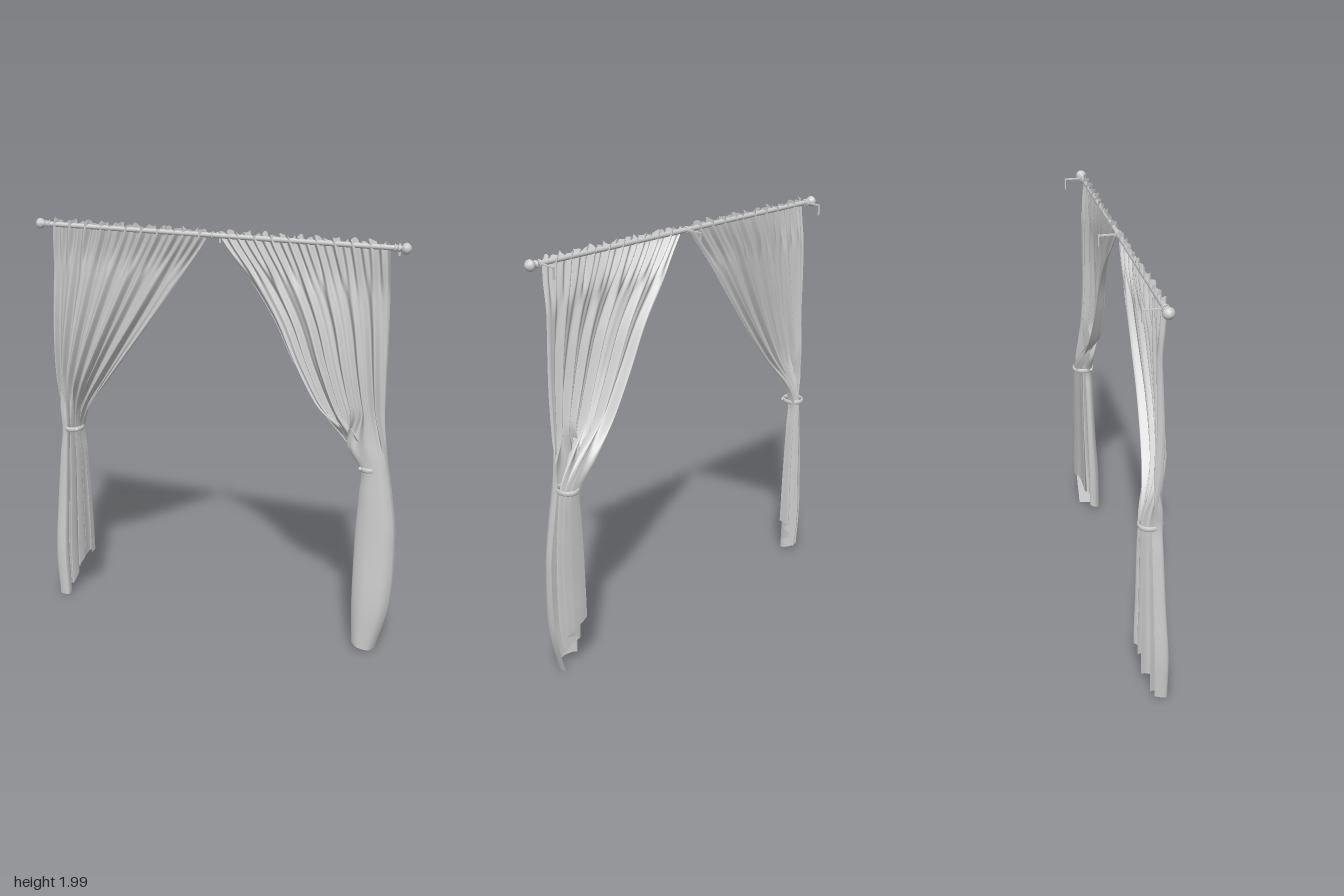
import * as THREE from 'three';

const metal = new THREE.MeshStandardMaterial({ color: 0xcccccc });
const cloth = new THREE.MeshStandardMaterial({ color: 0xcccccc, side: THREE.DoubleSide });
const ROD_Y = 1.965, ROD_Z = 0.015, TIE_Y = 0.935;

// smooth interpolation of column c in rows sorted by falling first value
function sample(rows, y, c) {
  const n = rows.length - 1;
  if (y >= rows[0][0]) return rows[0][c];
  if (y <= rows[n][0]) return rows[n][c];
  let i = 0;
  while (rows[i + 1][0] > y) i++;
  const slope = (k) => {
    const a = rows[Math.max(k - 1, 0)], b = rows[Math.min(k + 1, n)];
    return (b[c] - a[c]) / (b[0] - a[0]);
  };
  const h = rows[i + 1][0] - rows[i][0], t = (y - rows[i][0]) / h, t2 = t * t, t3 = t2 * t;
  return (2 * t3 - 3 * t2 + 1) * rows[i][c] + (t3 - 2 * t2 + t) * h * slope(i)
    + (3 * t2 - 2 * t3) * rows[i + 1][c] + (t3 - t2) * h * slope(i + 1);
}

// depth of the drapery: height, back z, front z
const DEPTH = [
  [2.0, 0.0, 0.03], [1.95, 0.0, 0.03], [1.8, -0.018, 0.038], [1.6, -0.025, 0.058], [1.4, -0.03, 0.075],
  [1.2, -0.042, 0.074], [1.05, -0.055, 0.052], [0.94, -0.058, 0.038], [0.8, -0.06, 0.042],
  [0.5, -0.062, 0.055], [0.25, -0.066, 0.07], [0.0, -0.055, 0.07],
];

// outline: height, outer |x|, inner |x|; tail: folded cross-section (0 outer..1 inner, -1 back..1 front)
const RIGHT = {
  side: -1, phase: 0.4,
  outline: [
    [2.0, 0.815, 0.02], [1.95, 0.825, 0.03], [1.8, 0.835, 0.135], [1.6, 0.845, 0.275], [1.4, 0.85, 0.42],
    [1.2, 0.848, 0.57], [1.05, 0.835, 0.685], [0.94, 0.82, 0.728], [0.8, 0.835, 0.718],
    [0.5, 0.86, 0.705], [0.25, 0.872, 0.70], [0.0, 0.86, 0.70],
  ],
  tail: [[0, -0.1], [0.06, 0.9], [0.3, 1], [0.36, 0.5], [0.2, -0.3], [0.38, 0.1], [0.46, 0.6], [0.5, -0.3], [0.42, -0.8],
    [0.6, -0.2], [0.65, 0.3], [0.7, -0.6], [0.64, -0.9], [0.8, -0.4], [0.86, 0.1], [0.86, -0.8], [0.95, -1], [1, -0.2]],
  hem: [[1, 0.24], [0.75, 0.22], [0.5, 0.13], [0.28, 0.045], [0.12, 0.01], [0, 0.03]],
};
const LEFT = {
  side: 1, phase: 2.1,
  outline: [
    [2.0, 0.81, 0.025], [1.95, 0.825, 0.04], [1.8, 0.83, 0.15], [1.6, 0.835, 0.285], [1.4, 0.837, 0.385],
    [1.2, 0.838, 0.505], [1.05, 0.842, 0.63], [0.94, 0.855, 0.73], [0.8, 0.88, 0.735],
    [0.6, 0.905, 0.728], [0.25, 0.90, 0.728], [0.0, 0.84, 0.737],
  ],
  tail: [[0, -0.6], [0.02, 0.2], [0.25, 0.85], [0.7, 1], [1, 0.6], [0.96, 0.1], [0.6, 0.45], [0.35, 0.1], [0.65, -0.1],
    [0.95, -0.3], [0.6, -0.4], [0.35, -0.6], [0.65, -0.75], [0.5, -1], [0.8, -0.95], [1, -0.85]],
  hem: [[1, 0.28], [0.8, 0.2], [0.6, 0.1], [0.4, 0.05], [0.2, 0.015], [0, 0.02]],
};

function curtainGeometry({ side, phase, outline, tail, hem }) {
  const NU = 240, NV = 84, HEAD = 8, TIE = 46;
  const folds = new THREE.CatmullRomCurve3(tail.map(([x, z]) => new THREE.Vector3(x, 0, z)))
    .getSpacedPoints(NU);
  const pos = [], index = [];
  for (let j = 0; j <= NV; j++) {
    for (let i = 0; i <= NU; i++) {
      const u = i / NU;
      // ruffled heading, then the drape to the tie, then the tail to a slanted hem
      const top = 1.988 + 0.007 * Math.sin(u * 61 + phase) + 0.005 * Math.sin(u * 143);
      let y;
      if (j <= HEAD) y = THREE.MathUtils.lerp(top, 1.93, j / HEAD);
      else if (j <= TIE) y = THREE.MathUtils.lerp(1.93, TIE_Y, (j - HEAD) / (TIE - HEAD));
      else y = THREE.MathUtils.lerp(TIE_Y, sample(hem, u, 1), (j - TIE) / (NV - TIE));
      const outer = sample(outline, y, 1), inner = sample(outline, y, 2);
      const zLo = sample(DEPTH, y, 1), zHi = sample(DEPTH, y, 2);

      // hanging pleats that fan out from the tie
      const pleat = 0.3 * Math.sin(u * 46 + phase + 1.2 * Math.sin(u * 9)) + 0.16 * Math.sin(u * 83 + phase * 2);
      const gather = THREE.MathUtils.smoothstep(y, 1.72, 1.96);
      const drape = (1 - gather) * (-0.4 + 0.85 * Math.sin(Math.PI * u) + pleat)
        + gather * (0.6 * Math.sin(u * 120 + phase) + 0.35 * Math.sin(u * 67));

      // blend the drape into the folded tail
      const w = 1 - THREE.MathUtils.smoothstep(y, TIE_Y, 1.22);
      const across = THREE.MathUtils.lerp(u, folds[i].x, w);
      const depth = THREE.MathUtils.lerp(drape, folds[i].z, w);
      pos.push(side * THREE.MathUtils.lerp(outer, inner, across), y,
        (zLo + zHi) / 2 + depth * (zHi - zLo) / 2);
      if (i < NU && j < NV) {
        const a = j * (NU + 1) + i, b = a + NU + 1;
        if (side < 0) index.push(a, b, a + 1, a + 1, b, b + 1);
        else index.push(a, a + 1, b, a + 1, b + 1, b);
      }
    }
  }
  const geo = new THREE.BufferGeometry();
  geo.setAttribute('position', new THREE.Float32BufferAttribute(pos, 3));
  geo.setIndex(index);
  geo.computeVertexNormals();
  return geo;
}

function add(parent, name, geo, mat, x = 0, y = 0, z = 0) {
  const mesh = new THREE.Mesh(geo, mat);
  mesh.name = name;
  mesh.position.set(x, y, z);
  parent.add(mesh);
  return mesh;
}

// flat band looped round the gathered cloth
function tieGeometry() {
  const geo = new THREE.TorusGeometry(1, 0.12, 10, 40);
  geo.rotateX(Math.PI / 2);
  geo.scale(0.05, 0.1, 0.05);
  return geo;
}

export function createModel() {
  const model = new THREE.Group();

  // curtains and their ties
  for (const spec of [RIGHT, LEFT]) {
    const name = spec.side > 0 ? 'left' : 'right';
    add(model, name + 'Curtain', curtainGeometry(spec), cloth);
    const tie = add(model, name + 'Tie', tieGeometry(), cloth, spec.side * 0.773, TIE_Y, -0.012);
    tie.scale.set(0.92, 1, 1.04);
    add(model, name + 'TieKnot', new THREE.SphereGeometry(0.011, 14, 10), cloth, spec.side * 0.738, TIE_Y, 0.025);
  }

  // rod
  const rod = new THREE.CylinderGeometry(0.012, 0.012, 1.76, 20);
  rod.rotateZ(Math.PI / 2);
  add(model, 'rod', rod, metal, 0, ROD_Y, ROD_Z);

  // turned finials
  const profile = [[0, -0.022], [0.017, -0.022], [0.017, -0.014], [0.011, -0.011], [0.013, -0.004],
    [0.022, 0.002], [0.026, 0.012], [0.024, 0.022], [0.016, 0.031], [0.007, 0.036], [0, 0.037]]
    .map(([r, h]) => new THREE.Vector2(r, h));
  for (const s of [-1, 1]) {
    const finial = add(model, s > 0 ? 'leftFinial' : 'rightFinial', new THREE.LatheGeometry(profile, 24),
      metal, s * 0.88, ROD_Y, ROD_Z);
    finial.rotation.z = -s * Math.PI / 2;
  }

  // wall brackets: ring on the rod, arm to the back, drop plate
  for (const x of [-0.845, 0, 0.845]) {
    const bracket = new THREE.Group();
    bracket.name = 'bracket';
    bracket.position.set(x, ROD_Y, 0);
    const ring = add(bracket, 'bracketRing', new THREE.TorusGeometry(0.014, 0.004, 10, 24), metal, 0, 0, ROD_Z);
    ring.rotation.y = Math.PI / 2;
    add(bracket, 'bracketArm', new THREE.BoxGeometry(0.01, 0.006, 0.08), metal, 0, 0, -0.037);
    add(bracket, 'bracketPlate', new THREE.BoxGeometry(0.01, 0.053, 0.005), metal, 0, -0.0235, -0.0755);
    model.add(bracket);
  }
  return model;
}
